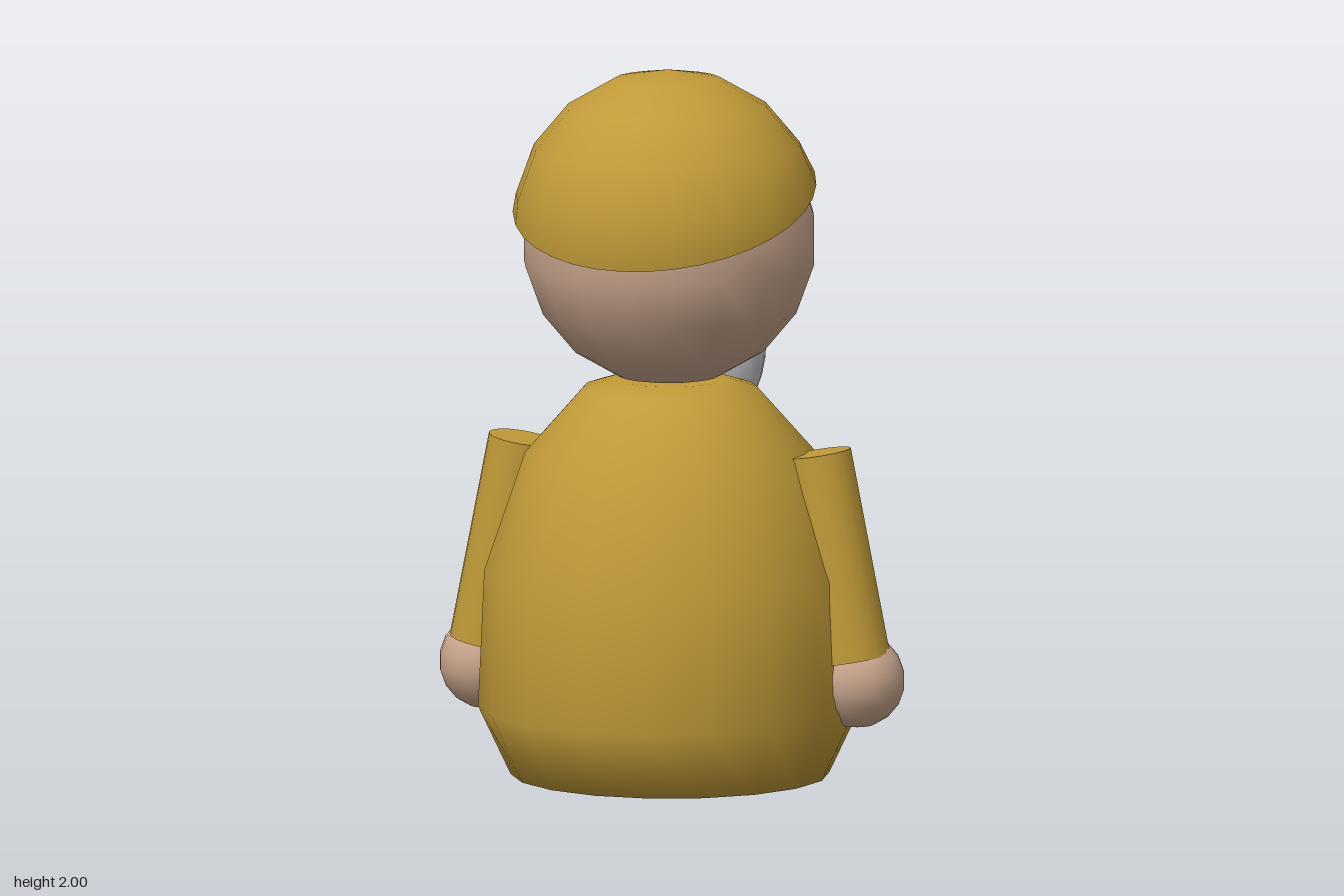
import * as THREE from 'three';

const material = (name, color) => {
  const m = new THREE.MeshStandardMaterial({ color });
  m.name = name;
  return m;
};

export function createModel() {
  const cloth = material('ochre cloth', 0xc09a38);
  const skin = material('skin', 0xc8a58c);
  const grey = material('beard grey', 0xc2c2c6);
  const dark = material('dark brown', 0x2e250e);
  const white = material('eye glint', 0xf0f0f0);
  cloth.side = THREE.DoubleSide; // the cap is an open shell

  const model = new THREE.Group();
  model.name = 'figurine';

  const add = (name, geometry, mat, x, y, z, parent = model) => {
    const mesh = new THREE.Mesh(geometry, mat);
    mesh.name = name;
    mesh.position.set(x, y, z);
    parent.add(mesh);
    return mesh;
  };
  const ellipsoid = (rx, ry, rz, w = 18, h = 9) =>
    new THREE.SphereGeometry(1, w, h, Math.PI / 2).scale(rx, ry, rz);

  // Robe body
  const profile = [[0, 0.03], [0.44, 0.03], [0.53, 0.22], [0.513, 0.6],
    [0.4, 0.93], [0.24, 1.11], [0.16, 1.135], [0, 1.137]]
    .map(([r, y]) => new THREE.Vector2(r, y));
  add('body', new THREE.LatheGeometry(profile, 18, Math.PI / 2), cloth, 0, 0, 0.05);

  // Head, nose and beard
  add('head', ellipsoid(0.41, 0.41, 0.41), skin, 0, 1.53, 0.06);
  add('nose', ellipsoid(0.048, 0.052, 0.048), skin, 0, 1.485, -0.398);
  add('beard', ellipsoid(0.168, 0.25, 0.125, 24, 16), grey, 0, 1.19, -0.28);

  // Cap: a dome whose lower rows stop at a sloping plane
  const capR = 0.43, slope = 0.375, lift = 0.09;
  const dome = new THREE.SphereGeometry(capR, 18, 9, Math.PI / 2);
  const pos = dome.attributes.position, nor = dome.attributes.normal;
  const p = new THREE.Vector3();
  for (let i = 0; i < pos.count; i++) {
    p.fromBufferAttribute(pos, i);
    const az = (dome.attributes.uv.getX(i) * 2 + 0.5) * Math.PI;
    const theta = Math.acos(THREE.MathUtils.clamp(p.y / capR, -1, 1));
    // cos(t) + slope * sin(az) * sin(t) = lift / capR on the rim
    const k = slope * Math.sin(az);
    const rim = Math.atan2(k, 1) + Math.acos(lift / capR / Math.hypot(1, k));
    const t = Math.min(theta, rim);
    p.set(-Math.cos(az) * Math.sin(t), Math.cos(t), Math.sin(az) * Math.sin(t));
    nor.setXYZ(i, p.x, p.y, p.z);
    pos.setXYZ(i, p.x * capR, p.y * capR, p.z * capR);
  }
  add('cap', dome, cloth, 0, 1.57, 0.07);

  // Cap visor
  const visor = add('visor', ellipsoid(0.255, 0.023, 0.255), cloth, 0, 1.696, -0.332);
  visor.rotation.x = -0.16;

  // Paired parts
  for (const s of [1, -1]) {
    const side = s > 0 ? 'left' : 'right';

    const eye = add(side + 'Eye', ellipsoid(0.04, 0.052, 0.03), dark, s * 0.137, 1.58, -0.335);
    eye.rotation.y = -s * 0.35;
    add(side + 'EyeGlint', ellipsoid(0.011, 0.014, 0.011, 10, 6), white,
      s * 0.137 - 0.01, 1.604, -0.361);

    const top = new THREE.Vector3(s * 0.43, 0.947, 0.05);
    const cuff = new THREE.Vector3(s * 0.525, 0.375, 0.05);
    const mid = top.clone().add(cuff).multiplyScalar(0.5);
    const sleeve = add(side + 'Sleeve',
      new THREE.CylinderGeometry(0.092, 0.11, top.distanceTo(cuff), 18), cloth, mid.x, mid.y, mid.z);
    sleeve.quaternion.setFromUnitVectors(new THREE.Vector3(0, 1, 0), top.clone().sub(cuff).normalize());

    add(side + 'Hand', ellipsoid(0.133, 0.133, 0.133), skin, s * 0.537, 0.315, 0.032);
    add(side + 'Foot', ellipsoid(0.15, 0.1, 0.21), dark, s * 0.2, 0.1, -0.05);
  }
  return model;
}
